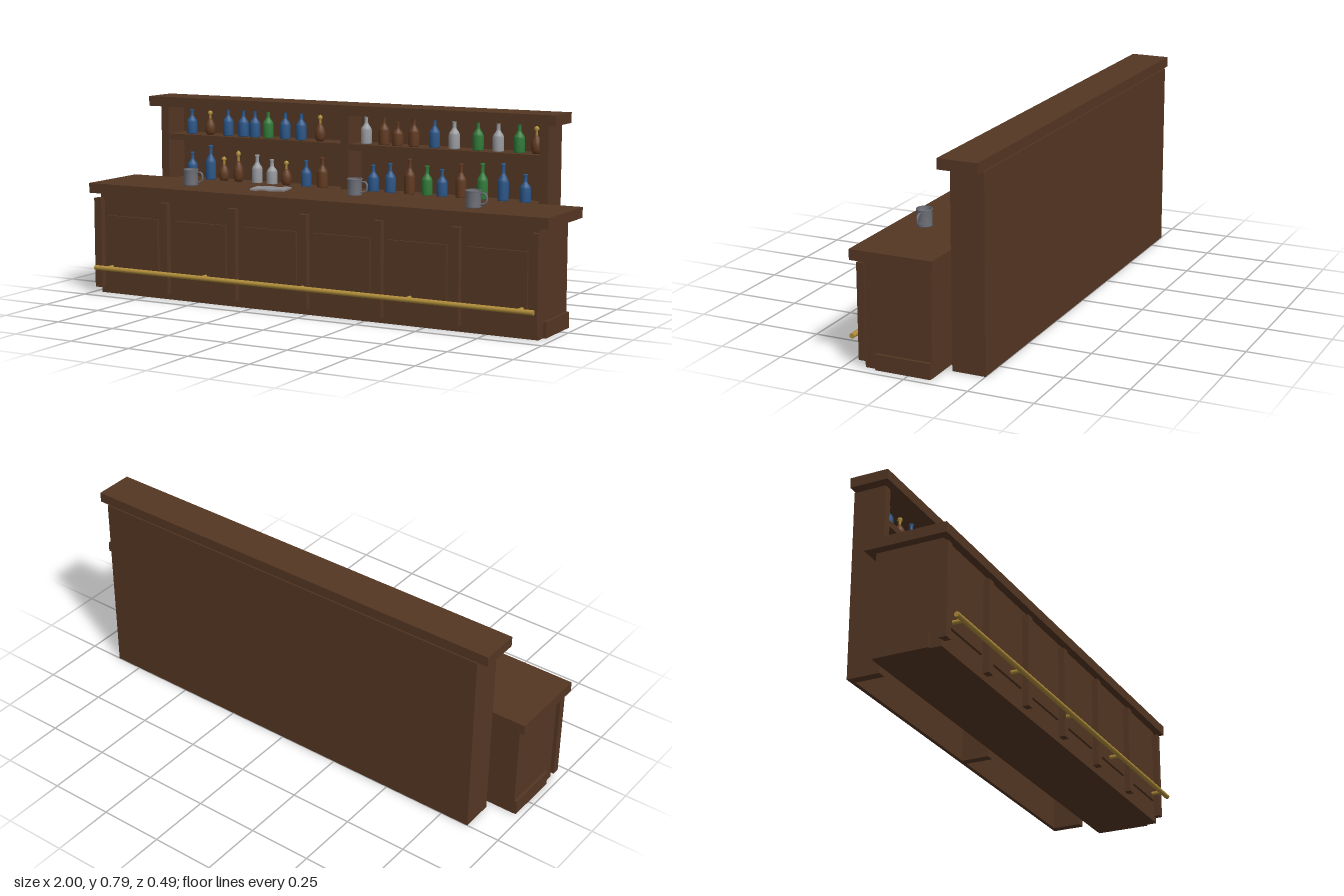
import * as THREE from 'three';

const mat = (name, color, side = THREE.FrontSide) => {
  const m = new THREE.MeshStandardMaterial({ color, side });
  m.name = name;
  return m;
};

export function createModel() {
  const wood = mat('dark wood', 0x553723);
  const brass = mat('brass', 0xb08d3a);
  const pewter = mat('pewter', 0x6e7078, THREE.DoubleSide);
  const cloth = mat('grey cloth', 0x8c8c90, THREE.DoubleSide);
  const glass = {
    b: mat('blue glass', 0x2b5688),
    g: mat('green glass', 0x2f7a38),
    c: mat('clear glass', 0x9a9ca0),
    n: mat('brown glass', 0x613a20),
  };
  const root = new THREE.Group();
  root.name = 'barCounter';

  const add = (name, geo, material, parent = root) => {
    const m = new THREE.Mesh(geo, material);
    m.name = name;
    parent.add(m);
    return m;
  };
  // Box given by its minimum and maximum on each axis
  const box = (name, x0, x1, y0, y1, z0, z1, material = wood) => {
    const m = add(name, new THREE.BoxGeometry(x1 - x0, y1 - y0, z1 - z0), material);
    m.position.set((x0 + x1) / 2, (y0 + y1) / 2, (z0 + z1) / 2);
    return m;
  };

  // Counter
  box('counterBody', -0.965, 0.955, 0, 0.41, -0.09, 0.175);
  box('counterPlinth', -0.975, 0.967, 0, 0.06, -0.088, 0.13);
  box('counterTop', -1, 1, 0.41, 0.45, -0.12, 0.205);
  for (let i = 0; i < 7; i++) {
    const x = -0.963 + i * 0.319;
    box('counterStile', x - 0.017, Math.min(x + 0.017, 0.96), 0.025, 0.39, 0.17, 0.2);
    if (i < 6) box('counterPanel', x + 0.038, x + 0.281, 0.085, 0.32, 0.17, 0.185);
  }

  // Foot rail with brackets
  const rail = add('footRail', new THREE.CylinderGeometry(0.01, 0.01, 1.917, 12), brass);
  rail.rotation.z = Math.PI / 2;
  rail.position.set(-0.001, 0.11, 0.227);
  for (let i = 0; i < 5; i++) {
    const b = add('railBracket', new THREE.CylinderGeometry(0.008, 0.008, 0.055, 8), brass);
    b.rotation.x = Math.PI / 2;
    b.position.set(-0.905 + i * 0.45, 0.11, 0.1995);
  }

  // Back shelf unit, open at the front and underneath
  box('shelfBack', -0.865, 0.86, 0, 0.745, -0.25, -0.235);
  box('shelfSideRight', -0.865, -0.83, 0, 0.745, -0.235, -0.12);
  box('shelfSideLeft', 0.825, 0.86, 0, 0.745, -0.235, -0.12);
  box('shelfDivider', -0.02, 0.015, 0, 0.745, -0.235, -0.125);
  box('upperShelf', -0.83, 0.825, 0.605, 0.63, -0.235, -0.13);
  box('lowerShelf', -0.83, 0.825, 0.42, 0.443, -0.235, -0.13);
  box('shelfCrown', -0.905, 0.9, 0.745, 0.785, -0.245, -0.09);

  // Bottles: tall ones, and round flasks with a brass neck (f)
  const tall = [[0, 0], [0.85, 0], [1, 0.03], [1, 0.5], [0.85, 0.58], [0.42, 0.7], [0.34, 0.76],
    [0.32, 0.94], [0.42, 0.95], [0.42, 1], [0, 1]];
  const flask = [[0, 0], [0.7, 0], [0.95, 0.12], [1, 0.28], [0.9, 0.45], [0.5, 0.6], [0.3, 0.66], [0, 0.66]];
  const neck = [[0.25, 0.64], [0.25, 0.84], [0.5, 0.86], [0.4, 0.95], [0, 1]];
  const lathe = (profile, r, h) =>
    new THREE.LatheGeometry(profile.map(([a, b]) => new THREE.Vector2(a * r, b * h)), 14);
  const bottle = (x, y, h, kind) => {
    const g = new THREE.Group();
    g.name = 'bottle';
    if (kind === 'f') {
      add('flaskBody', lathe(flask, 0.021, h), glass.n, g);
      add('flaskNeck', lathe(neck, 0.021, h), brass, g);
    } else {
      add('bottleGlass', lathe(tall, 0.022, h), glass[kind], g);
    }
    g.position.set(x, y, -0.175);
    root.add(g);
  };
  const row = (y, list) => list.forEach(([x, h, kind]) => bottle(x, y, h, kind));
  row(0.63, [
    [-0.75, 0.1, 'b'], [-0.66, 0.1, 'f'], [-0.573, 0.113, 'b'], [-0.5, 0.11, 'b'], [-0.445, 0.11, 'b'],
    [-0.382, 0.113, 'g'], [-0.302, 0.112, 'b'], [-0.228, 0.112, 'b'], [-0.14, 0.105, 'f'],
    [0.068, 0.11, 'c'], [0.147, 0.113, 'n'], [0.207, 0.09, 'n'], [0.277, 0.112, 'n'], [0.366, 0.113, 'b'],
    [0.45, 0.11, 'c'], [0.55, 0.112, 'g'], [0.634, 0.11, 'c'], [0.72, 0.11, 'g'], [0.79, 0.105, 'f'],
  ]);
  row(0.443, [
    [-0.75, 0.11, 'b'], [-0.66, 0.143, 'b'], [-0.595, 0.1, 'f'], [-0.525, 0.128, 'f'], [-0.435, 0.115, 'c'],
    [-0.365, 0.1, 'c'], [-0.297, 0.1, 'f'], [-0.205, 0.105, 'b'], [-0.13, 0.122, 'n'],
    [0.1, 0.105, 'b'], [0.175, 0.115, 'b'], [0.26, 0.138, 'n'], [0.335, 0.115, 'g'], [0.4, 0.105, 'b'],
    [0.48, 0.132, 'n'], [0.57, 0.138, 'g'], [0.656, 0.143, 'b'], [0.747, 0.107, 'b'],
  ]);

  // Mugs, hollow with a rolled lip and a side handle
  const mugProfile = [[0, 0], [0.028, 0], [0.03, 0.004], [0.028, 0.01], [0.028, 0.058], [0.031, 0.061],
    [0.03, 0.066], [0.026, 0.064], [0.025, 0.008], [0, 0.007]];
  const handle = new THREE.CatmullRomCurve3([[0.026, 0.052], [0.045, 0.054], [0.054, 0.042], [0.05, 0.02], [0.026, 0.012]]
    .map(([x, y]) => new THREE.Vector3(x, y, 0)));
  [[-0.6, 0.063], [0.115, 0.007], [0.655, 0.09]].forEach(([x, z]) => {
    const g = new THREE.Group();
    g.name = 'mug';
    add('mugBody', lathe(mugProfile, 1, 1), pewter, g);
    add('mugHandle', new THREE.TubeGeometry(handle, 14, 0.004, 6), pewter, g);
    g.position.set(x, 0.45, z);
    root.add(g);
  });

  // Folded cloth with a gently rippled surface
  const clothGeo = new THREE.BoxGeometry(0.14, 0.007, 0.09, 14, 1, 9);
  const p = clothGeo.attributes.position;
  for (let i = 0; i < p.count; i++) {
    const x = p.getX(i), z = p.getZ(i);
    p.setY(i, p.getY(i) + 0.0015 * Math.sin(x * 90) * Math.cos(z * 80));
  }
  clothGeo.computeVertexNormals();
  const rag = add('barCloth', clothGeo, cloth);
  rag.rotation.y = 0.19;
  rag.position.set(-0.242, 0.456, 0.04);

  return root;
}
